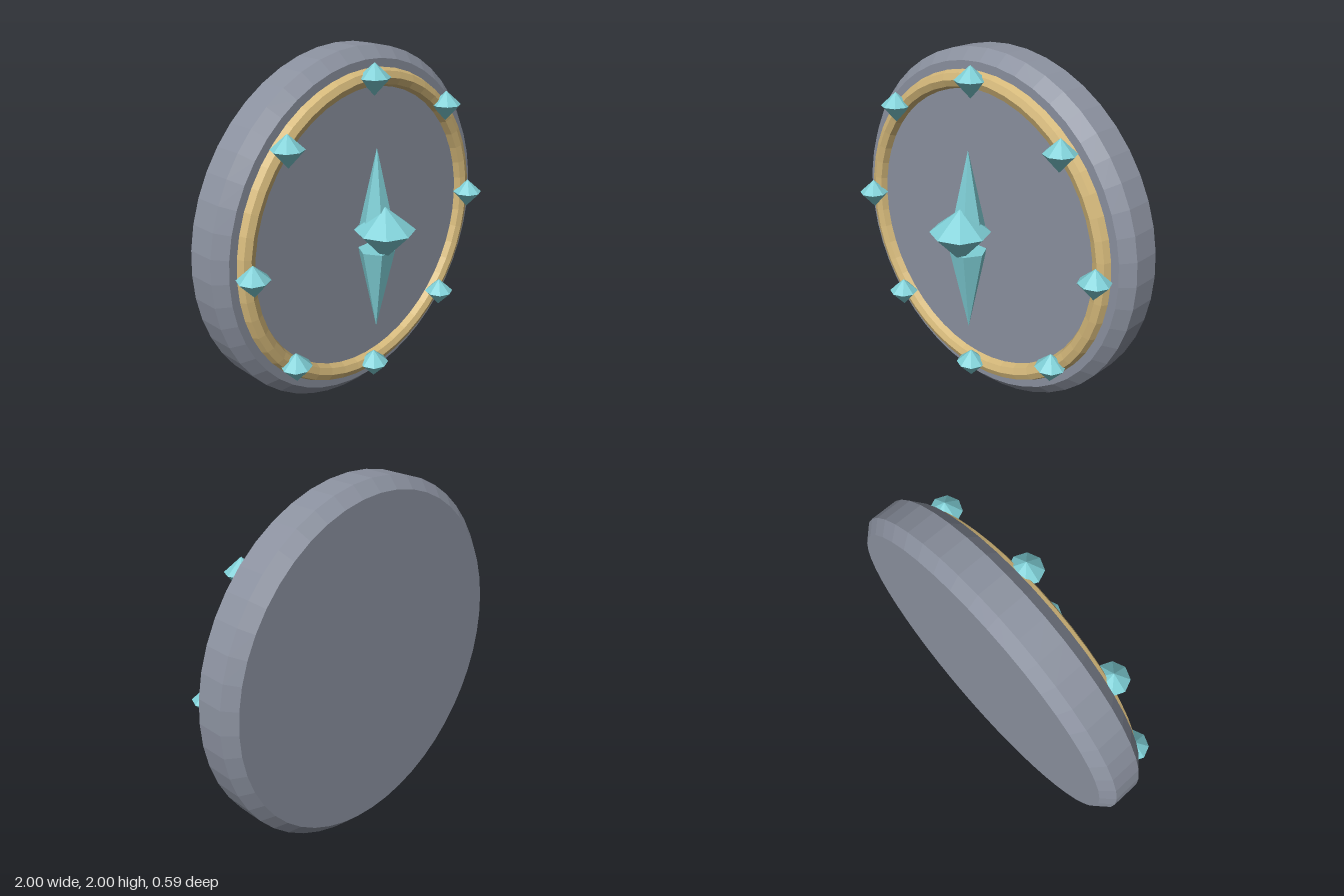
import * as THREE from 'three';

const flat = (name, color) => {
  const m = new THREE.MeshStandardMaterial({ color, flatShading: true });
  m.name = name;
  return m;
};

// Faceted solid of revolution around y from [radius, height] pairs, bottom to top
const turned = (profile, sides, start = 0) =>
  new THREE.LatheGeometry(profile.map(([r, y]) => new THREE.Vector2(r, y)), sides, start);

export function createModel() {
  const group = new THREE.Group();
  const stone = flat('stone grey', 0x8b919f);
  const gold = flat('gold', 0xd4b87a);
  const crystal = flat('crystal teal', 0x7fcfd6);

  const add = (name, geometry, material, x, y, z) => {
    const mesh = new THREE.Mesh(geometry, material);
    mesh.name = name;
    mesh.position.set(x, y, z);
    group.add(mesh);
    return mesh;
  };

  // Thick disc with chamfered rim, axis along z
  const disc = turned([[0, -0.295], [0.938, -0.295], [1, -0.235], [1, -0.08], [0.938, -0.018], [0, -0.018]], 48);
  add('disc', disc.rotateX(Math.PI / 2), stone, 0, 1, 0);

  // Gold ring half sunk into the front face
  add('goldRing', new THREE.TorusGeometry(0.843, 0.05, 8, 48), gold, 0, 1, -0.018);

  // Eight upright gems spaced around the ring
  const gem = turned([[0, -0.095], [0.086, 0], [0, 0.077]], 8);
  for (let i = 0; i < 8; i++) {
    const a = (i * Math.PI) / 4;
    add('ringGem', gem, crystal, 0.843 * Math.cos(a), 1.014 + 0.843 * Math.sin(a), 0.046);
  }

  // Large central gem
  add('centreGem', turned([[0, -0.175], [0.168, 0], [0, 0.133]], 8), crystal, 0, 1.04, 0.127);

  // Long six-sided shards pointing up and down
  const shard = turned([[0, 0], [0.106, 0], [0, 0.49]], 6, Math.PI / 2);
  add('upperShard', shard, crystal, 0, 1, 0.065);
  add('lowerShard', shard, crystal, 0, 0.91, 0.065).rotation.x = Math.PI;

  return group;
}
